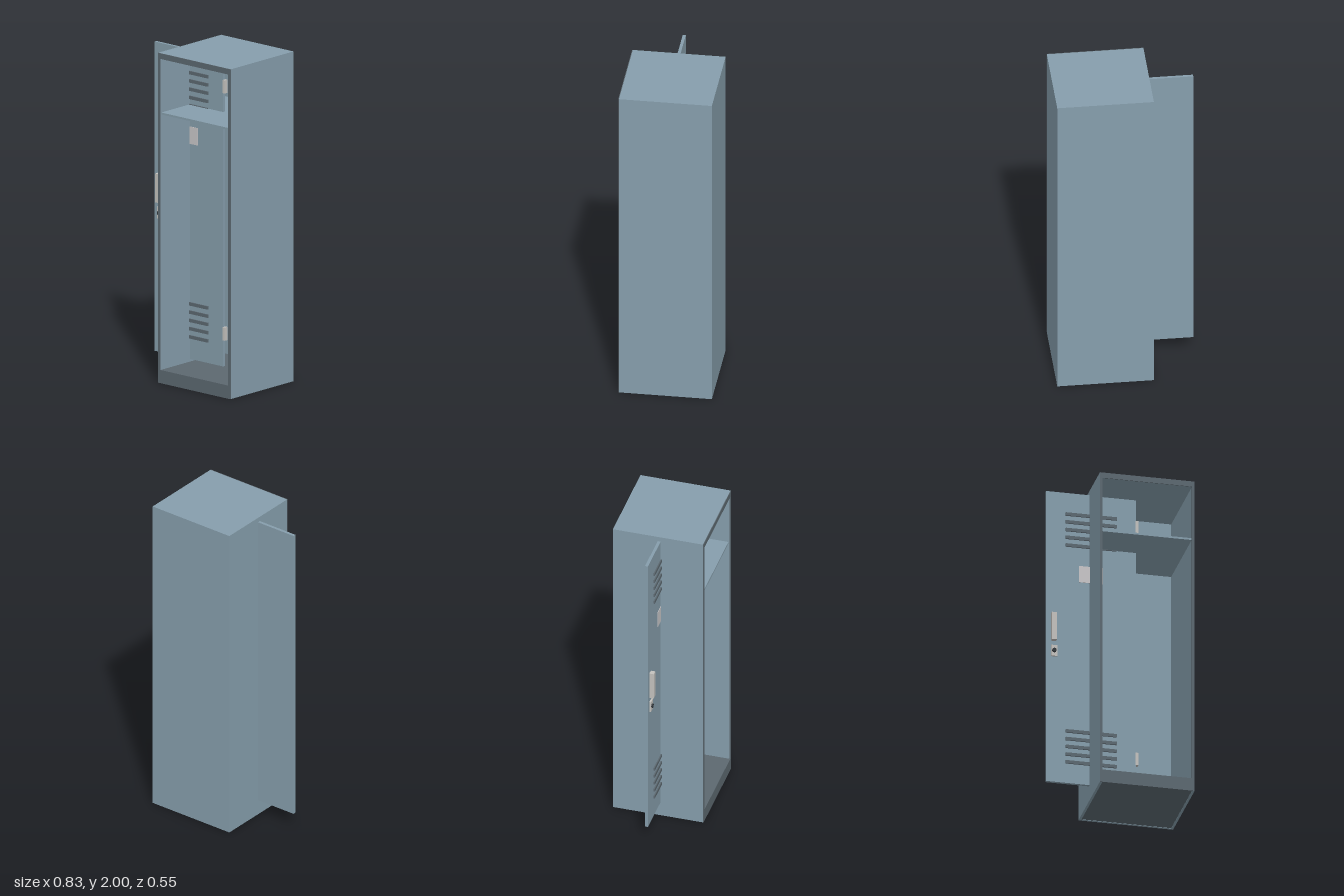
import * as THREE from 'three';

const mat = (name, color) => {
  const m = new THREE.MeshStandardMaterial({ color });
  m.name = name;
  return m;
};

export function createModel() {
  const blue = mat('blueGreySteel', 0x869eac);
  const dark = mat('darkSteel', 0x5c6870);
  const metal = mat('paleMetal', 0xc4c2be);
  const paper = mat('labelCard', 0xc8c6c8);
  const black = mat('keyholeBlack', 0x34393d);

  const locker = new THREE.Group();
  locker.name = 'locker';
  const cabinet = new THREE.Group();
  cabinet.name = 'cabinet';
  const door = new THREE.Group();
  door.name = 'door';
  locker.add(cabinet, door);

  // Box given by its lower and upper limits on each axis
  const box = (parent, name, m, x0, x1, y0, y1, z0, z1) => {
    const mesh = new THREE.Mesh(new THREE.BoxGeometry(x1 - x0, y1 - y0, z1 - z0), m);
    mesh.position.set((x0 + x1) / 2, (y0 + y1) / 2, (z0 + z1) / 2);
    mesh.name = name;
    parent.add(mesh);
    return mesh;
  };

  const L = -0.155, R = 0.415, B = -0.277, F = 0.273, T = 0.015;
  const mid = (L + R) / 2;

  // Cabinet shell
  box(cabinet, 'rightWall', blue, L, L + T, 0, 2, B, F);
  box(cabinet, 'leftWall', blue, R - T, R, 0, 2, B, F);
  box(cabinet, 'backWall', blue, L + T, R - T, 0, 2, B, B + T);
  box(cabinet, 'roof', blue, L + T, R - T, 1.966, 2, B + T, F);
  box(cabinet, 'base', dark, L + T, R - T, 0.002, 0.078, B + T, F);
  box(cabinet, 'shelf', blue, L + T, R - T, 1.626, 1.638, B + T, 0.265);

  // Dark face frame around the opening
  const rim = new THREE.Shape([[L, 0], [R, 0], [R, 2], [L, 2]].map(p => new THREE.Vector2(...p)));
  rim.holes.push(new THREE.Path(
    [[L + T, 0.08], [L + T, 1.966], [R - T - 0.002, 1.966], [R - T - 0.002, 0.08]].map(p => new THREE.Vector2(...p))));
  const frame = new THREE.Mesh(new THREE.ExtrudeGeometry(rim, { depth: 0.004, bevelEnabled: false }), dark);
  frame.position.z = F;
  frame.name = 'faceFrame';
  cabinet.add(frame);

  // Coat hook on the back wall
  box(cabinet, 'hookPlate', metal, mid - 0.009, mid + 0.009, 1.5, 1.54, B + T, B + T + 0.006);
  const bend = new THREE.CatmullRomCurve3([[1.525, 0], [1.507, 0.02], [1.507, 0.034], [1.525, 0.042]]
    .map(([y, z]) => new THREE.Vector3(mid, y, B + T + z)));
  const hook = new THREE.Mesh(new THREE.TubeGeometry(bend, 12, 0.005, 8), metal);
  hook.name = 'coatHook';
  cabinet.add(hook);

  // Door panel, vents and label
  box(door, 'doorPanel', blue, -0.418, 0.122, 0.095, 1.97, -0.003, 0.015);
  for (const y0 of [0.23, 1.632]) {
    for (let i = 0; i < 5; i++) {
      const y = y0 + i * 0.05;
      box(door, 'ventSlat', dark, -0.3, 0.006, y - 0.01, y + 0.01, 0.014, 0.022);
    }
  }
  box(door, 'labelCard', paper, -0.22, -0.077, 1.4, 1.505, 0.014, 0.018);

  // Hinges
  for (const y of [0.294, 1.793]) box(door, 'hinge', metal, 0.12, 0.138, y - 0.04, y + 0.04, -0.006, 0.018);

  // Handle and lock
  box(door, 'handle', metal, -0.389, -0.358, 1.005, 1.18, 0.014, 0.042);
  box(door, 'lockPlate', metal, -0.389, -0.35, 0.905, 0.975, 0.014, 0.025);
  const keyhole = new THREE.Mesh(new THREE.CylinderGeometry(0.013, 0.013, 0.012, 20), black);
  keyhole.rotation.x = Math.PI / 2;
  keyhole.position.set(-0.371, 0.94, 0.027);
  keyhole.name = 'keyhole';
  door.add(keyhole);

  return locker;
}
